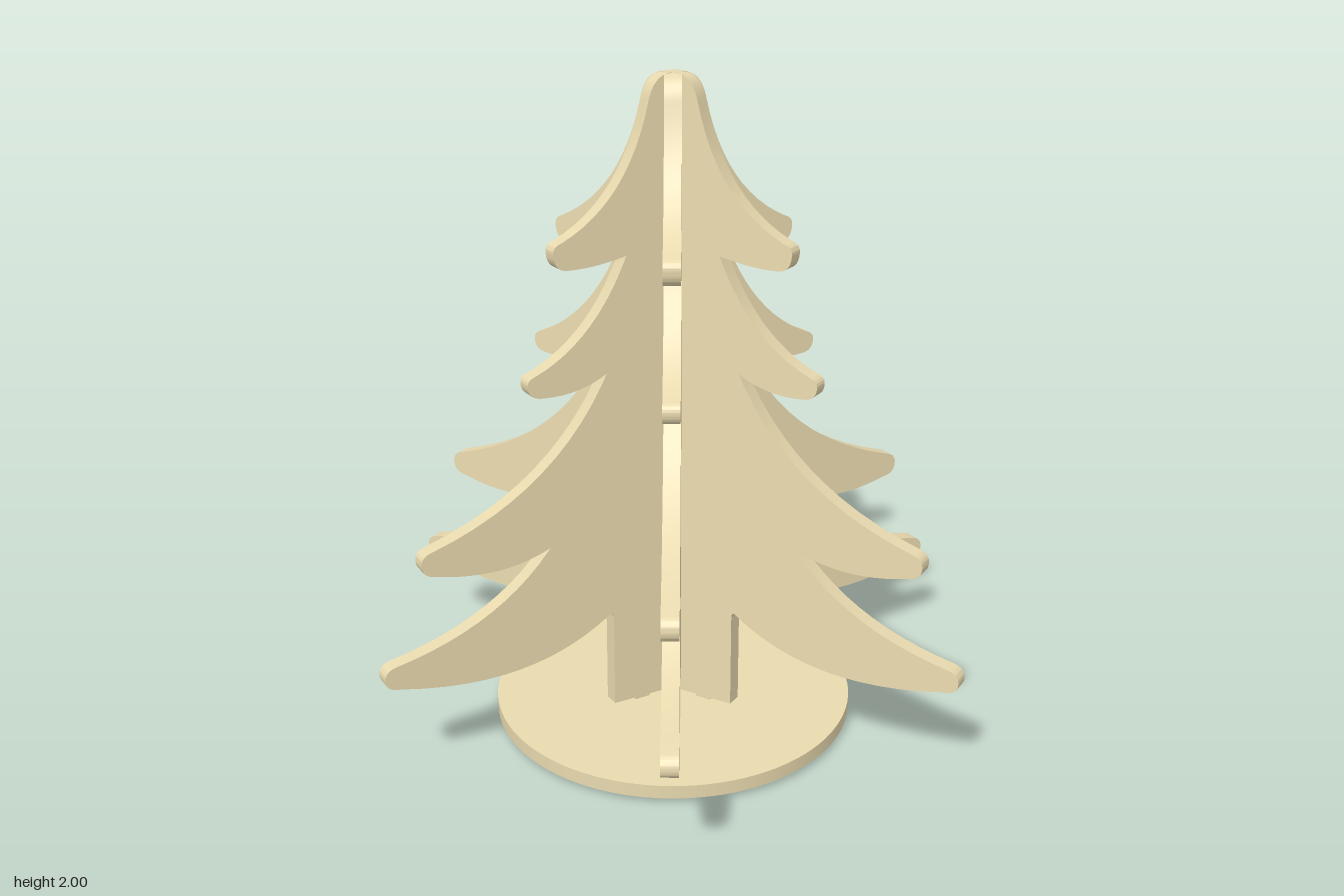
import * as THREE from 'three';
import { toCreasedNormals } from 'three/addons/utils/BufferGeometryUtils.js';

const THICK = 0.05;
const wood = new THREE.MeshStandardMaterial({ color: 0xe8d9ae, roughness: 0.8 });

// One tier: notch start, top curve control, top of tip, outermost tip, underside start, underside control
const TIERS = [
  { ctrl: [0.16, 1.65], top: [0.37, 1.553], tip: [0.398, 1.525], under: [0.36, 1.472], sag: [0.27, 1.468], notch: [0.17, 1.492] },
  { ctrl: [0.26, 1.26], top: [0.46, 1.177], tip: [0.488, 1.15], under: [0.45, 1.108], sag: [0.33, 1.095], notch: [0.235, 1.15] },
  { ctrl: [0.39, 0.82], top: [0.80, 0.705], tip: [0.833, 0.67], under: [0.79, 0.627], sag: [0.58, 0.57], notch: [0.42, 0.642] },
  { ctrl: [0.58, 0.43], top: [0.93, 0.372], tip: [0.962, 0.335], under: [0.915, 0.298], sag: [0.5, 0.19], notch: [0.235, 0.372] },
];

// Right half of the tree outline, from the crown down to the foot
function halfOutline() {
  const p = new THREE.Path();
  p.moveTo(0, 2);
  p.lineTo(0.025, 2);
  p.quadraticCurveTo(0.078, 1.995, 0.095, 1.92);
  TIERS.forEach((t, i) => {
    p.quadraticCurveTo(...t.ctrl, ...t.top);
    p.quadraticCurveTo(t.tip[0], t.top[1] - 0.008, ...t.tip);
    p.quadraticCurveTo(t.tip[0], t.under[1] + 0.005, ...t.under);
    p.quadraticCurveTo(...t.sag, ...t.notch);
    // small rounded inner corner
    const [x, y] = t.notch;
    if (i < 3) p.quadraticCurveTo(x - 0.02, y + 0.003, x - 0.012, y + 0.025);
    else p.quadraticCurveTo(x - 0.012, y + 0.008, 0.223, y - 0.02);
  });
  // trunk foot with a tab that passes through the base
  p.lineTo(0.223, 0.058);
  p.lineTo(0.15, 0.058);
  p.lineTo(0.15, 0.004);
  p.lineTo(0.1, 0.004);
  p.lineTo(0.1, 0.058);
  p.lineTo(0, 0.058);
  return p.getPoints(12);
}

function boardGeometry() {
  const right = halfOutline();
  const left = right.slice(1, -1).reverse().map((v) => new THREE.Vector2(-v.x, v.y));
  const geo = new THREE.ExtrudeGeometry(new THREE.Shape([...right, ...left]), {
    depth: THICK, bevelEnabled: false,
  });
  geo.translate(0, 0, -THICK / 2);
  return toCreasedNormals(geo, 0.6);
}

export function createModel() {
  const model = new THREE.Group();
  model.name = 'slottedTree';

  // round base plate
  const base = new THREE.Mesh(new THREE.CylinderGeometry(0.562, 0.562, 0.043, 96), wood);
  base.name = 'basePlate';
  base.position.set(0, 0.0335, 0.012);
  model.add(base);

  // three crossed boards, leaning slightly back
  const tree = new THREE.Group();
  tree.name = 'tree';
  tree.position.z = 0.017;
  tree.rotation.x = -0.042;
  const geo = boardGeometry();
  [30, 90, 150].forEach((deg, i) => {
    const board = new THREE.Mesh(geo, wood);
    board.name = `treeBoard${i + 1}`;
    board.rotation.y = THREE.MathUtils.degToRad(deg);
    tree.add(board);
  });
  model.add(tree);
  return model;
}
